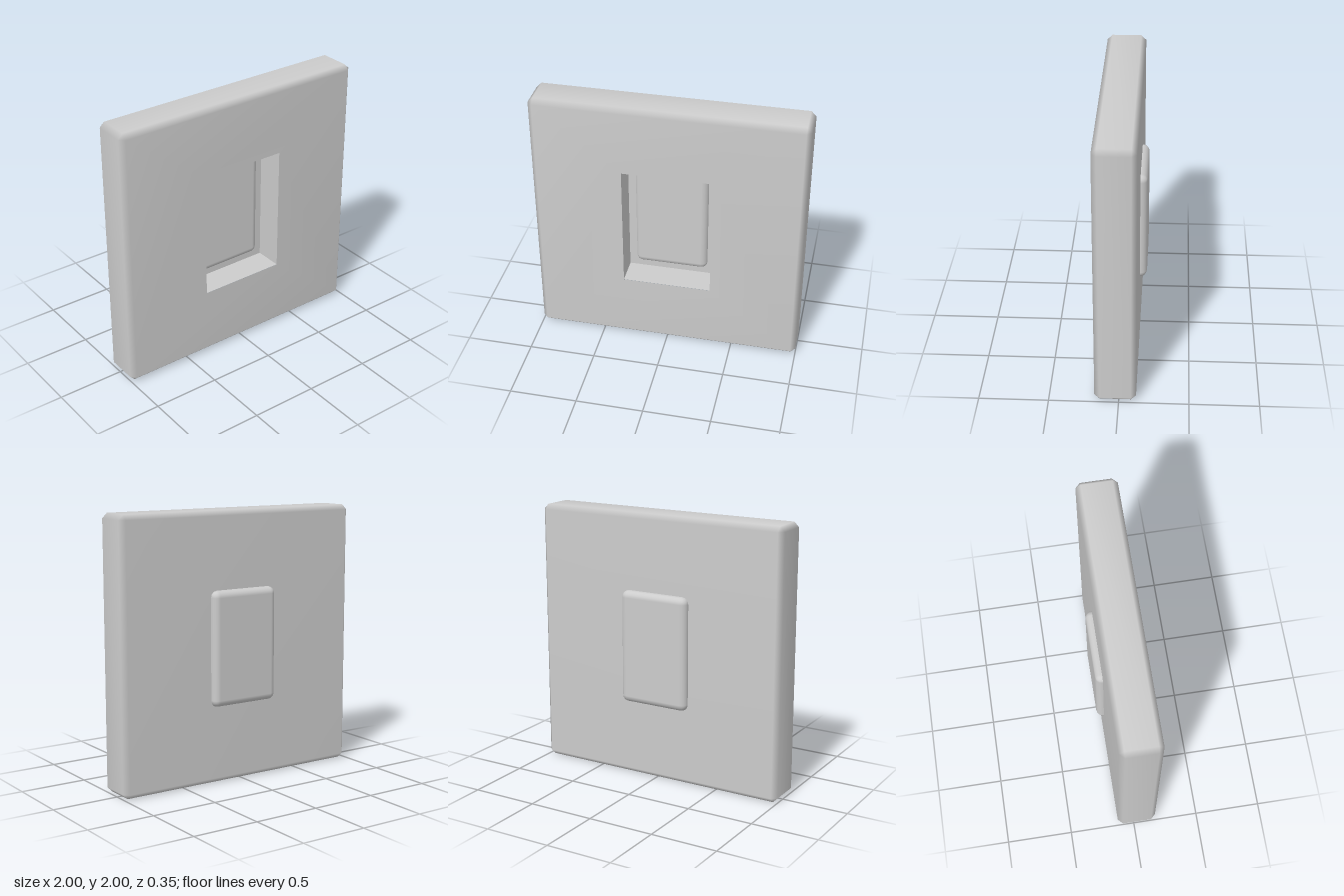
import * as THREE from 'three';
import { mergeVertices } from 'three/addons/utils/BufferGeometryUtils.js';
import { RoundedBoxGeometry } from 'three/addons/geometries/RoundedBoxGeometry.js';

const BACK = -0.123, FRONT = 0.175, BEVEL = 0.037;   // plate depth and edge bevel
const HW = 0.33, HH = 0.479, FLOOR = -0.035;         // recess half size and floor depth

// rectangle outline, counter-clockwise seen from the front
const rect = (w, h) => [[w, h], [-w, h], [-w, -h], [w, -h]].map(([x, y]) => new THREE.Vector2(x, y));

// eight-point outline: each corner is cut by c, or doubled up when c is 0
function ring(half, c, z) {
  return rect(half, half).flatMap((p, i) => {
    const a = new THREE.Vector3(p.x, p.y - Math.sign(p.y) * c, z);
    const b = new THREE.Vector3(p.x - Math.sign(p.x) * c, p.y, z);
    return i % 2 ? [b, a] : [a, b];
  });
}

function toGeometry(points) {
  return new THREE.BufferGeometry().setFromPoints(points);
}

// joins two closed outlines, skipping collapsed triangles
function bridge(out, a, b) {
  const tri = (p, q, r) => {
    if (!p.equals(q) && !q.equals(r) && !r.equals(p)) out.push(p, q, r);
  };
  a.forEach((p, i) => {
    const j = (i + 1) % a.length;
    tri(p, a[j], b[j]);
    tri(p, b[j], b[i]);
  });
}

// bevelled slab with an opening in its front face
function plateGeometry() {
  const inner = 1 - BEVEL;
  const rings = [
    ring(inner, 0, BACK), ring(1, BEVEL, BACK + BEVEL),
    ring(1, BEVEL, FRONT - BEVEL), ring(inner, 0, FRONT),
  ];
  const points = [];
  for (let i = 0; i < 3; i++) bridge(points, rings[i], rings[i + 1]);

  // back face
  const [a, , b, , c, , d] = rings[0];
  points.push(a, c, b, a, d, c);

  // front face around the recess
  const face = new THREE.Shape(rect(inner, inner));
  face.holes.push(new THREE.Path(rect(HW, HH).reverse()));
  const cap = new THREE.ShapeGeometry(face).toNonIndexed().attributes.position;
  for (let i = 0; i < cap.count; i++) points.push(new THREE.Vector3(cap.getX(i), cap.getY(i), FRONT));

  const geometry = mergeVertices(toGeometry(points));
  geometry.computeVertexNormals();
  return geometry;
}

// inward-facing walls and floor, with hard edges
function recessGeometry() {
  const at = z => rect(HW, HH).map(p => new THREE.Vector3(p.x, p.y, z));
  const floor = at(FLOOR), points = [];
  bridge(points, at(FRONT), floor);
  points.push(floor[0], floor[1], floor[2], floor[0], floor[2], floor[3]);
  const geometry = toGeometry(points);
  geometry.computeVertexNormals();
  return geometry;
}

export function createModel() {
  const grey = new THREE.MeshStandardMaterial({ color: 0xcccccc });
  grey.name = 'plain grey';
  const model = new THREE.Group();
  model.name = 'wallPlate';

  const add = (name, geometry, y, z = 0) => {
    const mesh = new THREE.Mesh(geometry, grey);
    mesh.name = name;
    mesh.position.set(0, y, z);
    model.add(mesh);
  };
  add('plate', plateGeometry(), 1);
  add('recess', recessGeometry(), 1.002);

  // rounded block set through the recess floor and out of the back
  const depth = 0.18;
  add('block', new RoundedBoxGeometry(0.55, 0.852, depth, 2, 0.05), 1.003, -0.175 + depth / 2);
  return model;
}
